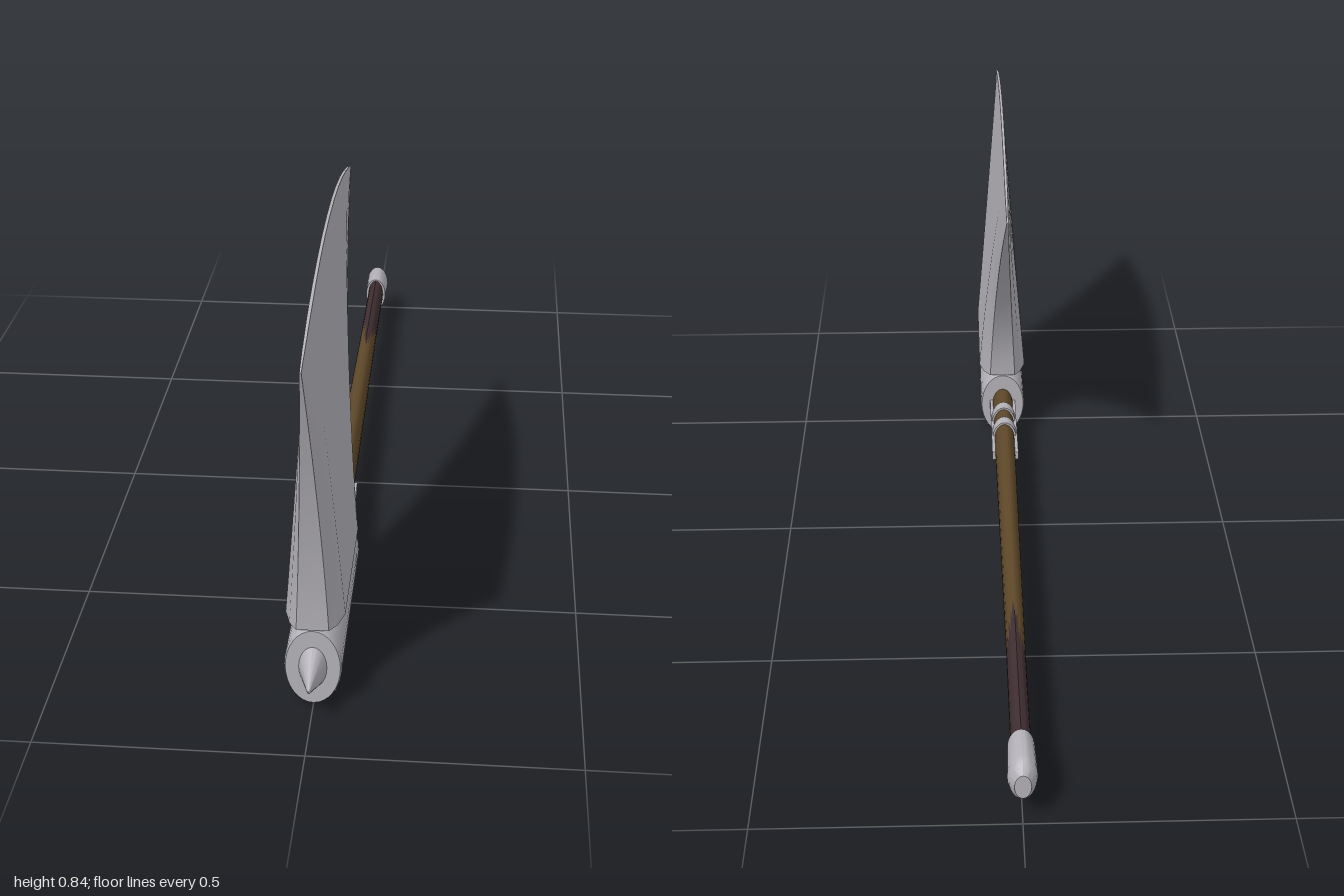
import * as THREE from 'three';
import { toCreasedNormals } from 'three/addons/utils/BufferGeometryUtils.js';

const steel = new THREE.MeshStandardMaterial({ color: 0xb4b2b8 });
steel.name = 'steel';
const wood = new THREE.MeshStandardMaterial({ color: 0x5e4829 });
wood.name = 'wood';
const leather = new THREE.MeshStandardMaterial({ color: 0x3f2e31 });
leather.name = 'leather';

const AXIS_Y = 0.087;

function add(group, name, geometry, material) {
  const mesh = new THREE.Mesh(geometry, material);
  mesh.name = name;
  group.add(mesh);
  return mesh;
}

// Solid turned along z with an elliptical section; profile rows are [half height, z].
function turned(profile, widthRatio, segments = 24) {
  const g = new THREE.LatheGeometry(profile.map(([r, z]) => new THREE.Vector2(r, z)), segments);
  g.rotateX(Math.PI / 2).scale(widthRatio, 1, 1).translate(0, AXIS_Y, 0);
  return toCreasedNormals(g, 0.5);
}

// Tapered elliptical rod between two z positions, [rx, ry] at each end.
function rod(z0, [rx0, ry0], z1, [rx1, ry1]) {
  const g = new THREE.CylinderGeometry(1, 1, z1 - z0, 24).rotateX(Math.PI / 2);
  g.translate(0, 0, (z0 + z1) / 2);
  const p = g.attributes.position;
  for (let i = 0; i < p.count; i++) {
    const t = (p.getZ(i) - z0) / (z1 - z0);
    p.setX(i, p.getX(i) * (rx0 + (rx1 - rx0) * t));
    p.setY(i, p.getY(i) * (ry0 + (ry1 - ry0) * t) + AXIS_Y);
  }
  g.computeVertexNormals();
  return toCreasedNormals(g, 0.5);
}

// Flared blade: bevelled sections stacked upward, thinning to the curved cutting edge.
function bladeGeometry() {
  const section = [[0, 0.54], [0.05, 0.8], [0.14, 1], [0.23, 1], [0.32, 1], [0.41, 1], [0.5, 1],
    [0.59, 1], [0.68, 1], [0.77, 1], [0.86, 1], [0.95, 0.8], [1, 0.54]];
  const m = section.length, n = 2 * m, rows = 14;
  const pos = [], idx = [];
  for (let r = 0; r <= rows; r++) {
    const t = r / rows;
    const back = 0.425 - 0.44 * t ** 1.77;
    const front = 0.85 + 0.15 * t ** 1.6;
    const thick = 0.056 + (0.003 - 0.056) * t;
    for (let k = 0; k < n; k++) {
      const [u, w] = section[k < m ? k : n - 1 - k];
      const y = 0.168 + t * (0.597 + 0.08 * (1 - (2 * u - 1) ** 2));
      pos.push((k < m ? 1 : -1) * w * thick, y, back + (front - back) * u);
    }
  }
  for (let r = 0; r < rows; r++) {
    for (let k = 0; k < n; k++) {
      const a = r * n + k, b = r * n + (k + 1) % n;
      idx.push(a, a + n, b, b, a + n, b + n);
    }
  }
  // Close the underside and the cutting edge
  const top = rows * n;
  for (let i = 0; i < m - 1; i++) {
    const p0 = i, p1 = i + 1, n0 = n - 1 - i, n1 = n - 2 - i;
    idx.push(top + n0, top + n1, top + p0, top + n1, top + p1, top + p0);
    idx.push(n0, p0, n1, n1, p0, p1);
  }
  const g = new THREE.BufferGeometry();
  g.setAttribute('position', new THREE.Float32BufferAttribute(pos, 3));
  g.setIndex(idx);
  g.computeVertexNormals();
  return toCreasedNormals(g, 0.3);
}

export function createModel() {
  const axe = new THREE.Group();
  axe.name = 'battleAxe';

  // Head
  add(axe, 'blade', bladeGeometry(), steel);
  add(axe, 'socket', turned([[0, 0.425], [0.079, 0.425], [0.083, 0.432],
    [0.083, 0.843], [0.079, 0.85], [0, 0.85]], 0.65, 32), steel);
  add(axe, 'frontSpike', turned([[0.045, 0.848], [0.005, 0.926], [0, 0.932]], 0.6), steel);
  add(axe, 'socketKeel', new THREE.BoxGeometry(0.078, 0.04, 0.325).translate(0, 0.021, 0.637), steel);

  // Handle: the grip emerges from the tapering shaft
  add(axe, 'shaft', rod(-0.9, [0.018, 0.0385], 0.43, [0.025, 0.0415]), wood);
  add(axe, 'grip', rod(-0.9, [0.0195, 0.0394], -0.4, [0.0195, 0.0394]), leather);
  add(axe, 'pommel', turned([[0, -1], [0.026, -1], [0.03, -0.992], [0.042, -0.982],
    [0.047, -0.97], [0.043, -0.89], [0, -0.89]], 0.6), steel);

  // Straps and rings binding the head to the shaft
  for (const z of [0.262, 0.335]) {
    add(axe, 'bindingRing', rod(z - 0.015, [0.029, 0.046], z + 0.015, [0.029, 0.046]), steel);
  }
  for (const side of [-1, 1]) {
    add(axe, 'sideStrap', new THREE.BoxGeometry(0.01, 0.02, 0.26)
      .translate(side * 0.026, AXIS_Y, 0.3), steel);
  }
  return axe;
}
